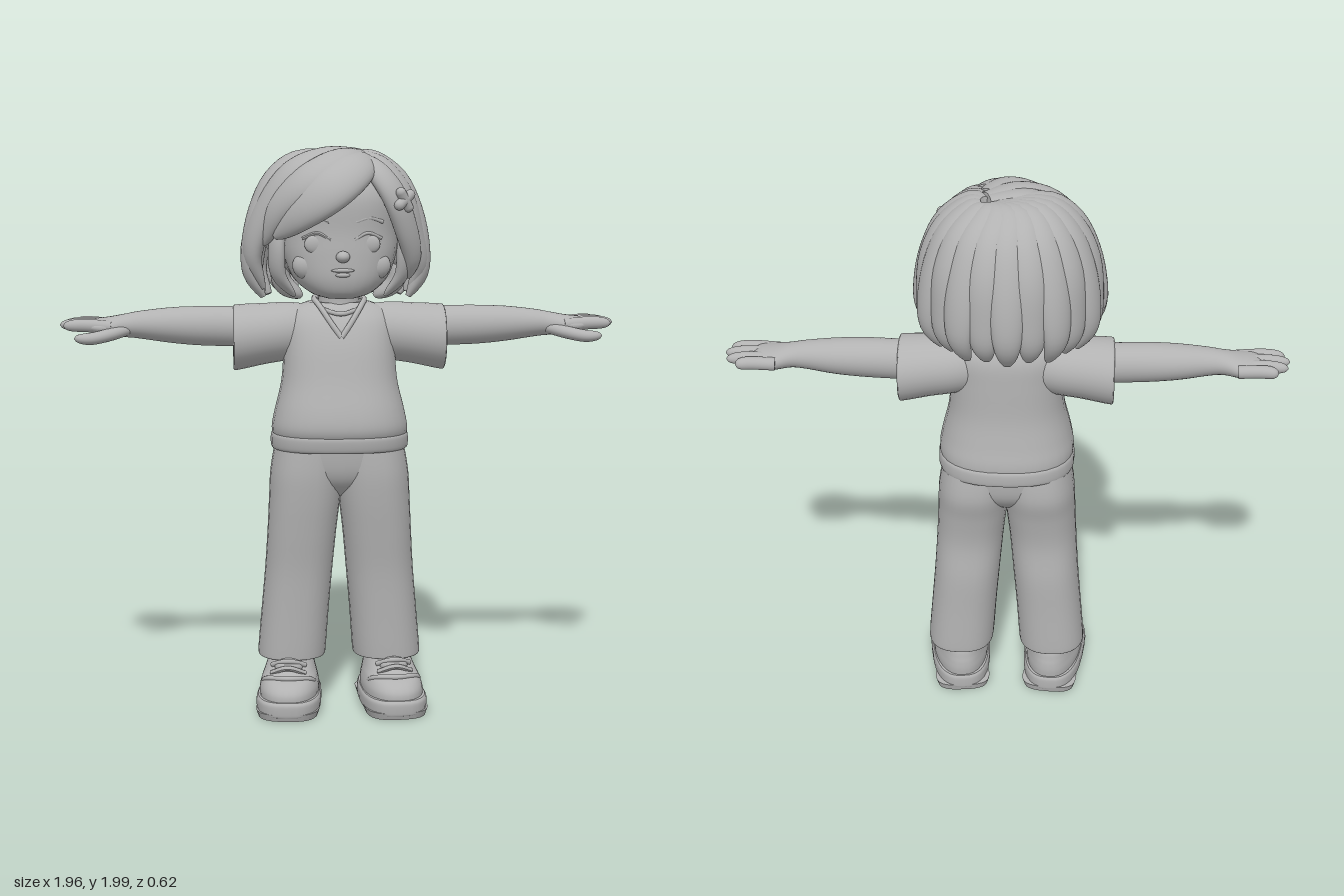
import * as THREE from 'three';

const clay = new THREE.MeshStandardMaterial({ color: 0xb2b2b2, side: THREE.DoubleSide });
clay.name = 'clay grey';
const V = (x, y, z) => new THREE.Vector3(x, y, z);
const SEG = 32;

// Skin a list of closed rings, with flat caps on both ends
function skin(rings) {
  const pos = [], idx = [], n = rings[0].length;
  rings.forEach(r => r.forEach(p => pos.push(p.x, p.y, p.z)));
  for (let i = 0; i < rings.length - 1; i++)
    for (let j = 0; j < n; j++) {
      const a = i * n + j, b = i * n + (j + 1) % n;
      idx.push(a, b, a + n, b, b + n, a + n);
    }
  [rings[0], rings[rings.length - 1]].forEach((r, end) => {
    const base = pos.length / 3, c = V(0, 0, 0);
    r.forEach(p => { pos.push(p.x, p.y, p.z); c.addScaledVector(p, 1 / n); });
    pos.push(c.x, c.y, c.z);
    for (let j = 0; j < n; j++) {
      const a = base + j, b = base + (j + 1) % n;
      idx.push(...(end ? [a, b, base + n] : [b, a, base + n]));
    }
  });
  const g = new THREE.BufferGeometry();
  g.setAttribute('position', new THREE.Float32BufferAttribute(pos, 3));
  g.setIndex(idx);
  g.computeVertexNormals();
  return g;
}

// Smoothly interpolate rows of section numbers
function spline(rows, steps = 5) {
  const out = [], at = i => rows[Math.max(0, Math.min(rows.length - 1, i))];
  for (let i = 0; i < rows.length - 1; i++)
    for (let s = 0; s < steps; s++) {
      const t = s / steps;
      out.push(at(i).map((b, k) => {
        const a = at(i - 1)[k], c = at(i + 1)[k], d = at(i + 2)[k];
        return b + 0.5 * t * (c - a + t * (2 * a - 5 * b + 4 * c - d + t * (3 * (b - c) + d - a)));
      }));
    }
  out.push(rows[rows.length - 1]);
  return out;
}

const pw = (v, n) => Math.sign(v) * Math.abs(v) ** (2 / n);
const ring = f => Array.from({ length: SEG }, (_, j) => {
  const a = j / SEG * Math.PI * 2;
  return f(Math.cos(a), Math.sin(a));
});
// Upright loft, rows: [y, centreX, backZ, frontZ, halfWidth]
const loftY = (rows, n = 2.3) => skin(spline(rows).map(([y, cx, zb, zf, rx]) =>
  ring((c, s) => V(cx + rx * pw(s, n), y, (zb + zf) / 2 + (zf - zb) / 2 * pw(c, n)))));
// Sideways loft, rows: [x, centreY, centreZ, halfHeight, halfDepth]
const loftX = rows => skin(spline(rows).map(([x, cy, cz, ry, rz]) =>
  ring((c, s) => V(x, cy + ry * c, cz + rz * s))));

const lockShape = t => Math.sqrt(Math.sin(Math.PI * (0.08 + 0.9 * t)));
const fingerShape = t => Math.sqrt(Math.max(0.004, 1 - t ** 6));
// Flattened strand along a path, its flat side facing away from the centre
function strand(pts, w, th, centre, shape = lockShape) {
  const curve = new THREE.CatmullRomCurve3(pts.map(p => V(...p))), rings = [];
  for (let i = 0; i <= 24; i++) {
    const t = i / 24, p = curve.getPoint(t), T = curve.getTangent(t);
    const N = p.clone().sub(centre);
    N.addScaledVector(T, -N.dot(T)).normalize();
    const B = N.clone().cross(T), k = shape(t);
    rings.push(ring((c, s) => p.clone().addScaledVector(B, w * k * c).addScaledVector(N, th * k * s)));
  }
  return skin(rings);
}

function mirrored(g) {
  const m = g.clone().scale(-1, 1, 1), ix = m.index.array;
  for (let i = 0; i < ix.length; i += 3) [ix[i], ix[i + 1]] = [ix[i + 1], ix[i]];
  m.computeVertexNormals();
  return m;
}

export function createModel() {
  const model = new THREE.Group();
  const add = (name, g) => {
    const m = new THREE.Mesh(g, clay);
    m.name = name;
    model.add(m);
    return m;
  };
  const pair = (name, g) => { add('left' + name, g); add('right' + name, mirrored(g)); };
  const blob = (x, y, z, a, b, c, rot = 0) =>
    new THREE.SphereGeometry(1, 24, 16).scale(a, b, c).rotateZ(rot).translate(x, y, z);
  const tube = (pts, r) => new THREE.TubeGeometry(
    new THREE.CatmullRomCurve3(pts.map(p => V(...p))), 28, r, 10);

  // Head, neck and face
  add('head', loftY([[1.472, 0, 0.08, 0.19, 0.05], [1.49, 0, 0.02, 0.225, 0.105], [1.54, 0, -0.1, 0.243, 0.165],
    [1.62, 0, -0.17, 0.243, 0.198], [1.7, 0, -0.2, 0.238, 0.203], [1.82, 0, -0.2, 0.235, 0.2],
    [1.9, 0, -0.15, 0.18, 0.15], [1.94, 0, -0.06, 0.08, 0.06]]));
  add('neck', loftY([[1.4, 0, -0.07, 0.1, 0.085], [1.46, 0, -0.055, 0.09, 0.072], [1.55, 0, -0.06, 0.1, 0.075]], 2));
  add('nose', blob(0, 1.618, 0.247, 0.024, 0.02, 0.028));
  add('upperLip', blob(0, 1.572, 0.243, 0.04, 0.007, 0.008));
  add('lowerLip', blob(0, 1.556, 0.242, 0.025, 0.008, 0.009));
  pair('Eye', blob(0.088, 1.66, 0.212, 0.042, 0.034, 0.016));
  pair('Eyelid', tube([[0.04, 1.675, 0.232], [0.085, 1.698, 0.222], [0.135, 1.68, 0.196]], 0.006));
  pair('Eyebrow', tube([[0.045, 1.735, 0.23], [0.09, 1.748, 0.217], [0.14, 1.735, 0.191]], 0.007));
  pair('Cheek', blob(0.11, 1.585, 0.17, 0.06, 0.05, 0.04));
  pair('Ear', blob(0.2, 1.63, 0.05, 0.025, 0.05, 0.035));

  // Hair: inner cap, then locks fanning from the crown around sides and back
  const mid = V(0, 1.68, 0);
  add('hairCap', blob(-0.01, 1.73, -0.04, 0.265, 0.235, 0.235));
  const locks = 13;
  for (let i = 0; i < locks; i++) {
    const a = THREE.MathUtils.lerp(-0.12, Math.PI + 0.12, i / (locks - 1));
    const dx = Math.cos(a), dz = -Math.sin(a), wob = i % 2 ? 0.012 : 0;
    const at = (r, y) => [-0.012 + dx * r * 1.05, y, dz * r + 0.01];
    add('hairLock' + i, strand([[0.05 + dx * 0.03, 1.958, -0.03 + dz * 0.03], at(0.13, 1.945), at(0.205, 1.88),
      at(0.255, 1.77), at(0.283 - wob, 1.64), at(0.285 - wob, 1.55), at(0.245, 1.47 + wob)], 0.062, 0.04, mid));
  }
  // Swept fringe, top strands and face-framing locks
  const front = [
    ['fringe', [[0.08, 1.95, 0.1], [0.04, 1.91, 0.2], [-0.04, 1.845, 0.255], [-0.13, 1.775, 0.24], [-0.23, 1.69, 0.16]], 0.08, 0.045],
    ['fringeTop', [[0.07, 1.96, 0.04], [0, 1.935, 0.16], [-0.11, 1.87, 0.205], [-0.21, 1.78, 0.165], [-0.27, 1.66, 0.11]], 0.075, 0.045],
    ['crownLockFront', [[0.07, 1.965, 0.0], [-0.05, 1.952, 0.09], [-0.16, 1.9, 0.12], [-0.25, 1.78, 0.1], [-0.305, 1.62, 0.07], [-0.27, 1.5, 0.05]], 0.07, 0.042],
    ['crownLockSide', [[0.06, 1.965, -0.02], [-0.08, 1.95, 0.03], [-0.19, 1.89, 0.05], [-0.27, 1.77, 0.04], [-0.315, 1.6, 0.03], [-0.28, 1.49, 0.02]], 0.07, 0.04],
    ['leftFringe', [[0.085, 1.95, 0.07], [0.12, 1.91, 0.16], [0.175, 1.83, 0.19], [0.22, 1.72, 0.165], [0.25, 1.61, 0.12], [0.24, 1.54, 0.09]], 0.055, 0.036],
    ['leftCrownLock', [[0.08, 1.96, 0.02], [0.14, 1.925, 0.08], [0.21, 1.83, 0.1], [0.255, 1.7, 0.08], [0.285, 1.58, 0.05], [0.25, 1.49, 0.03]], 0.068, 0.038],
  ];
  front.forEach(([name, pts, w, th]) => add(name, strand(pts, w, th, mid)));
  pair('FaceLock', strand([[0.21, 1.74, 0.12], [0.222, 1.64, 0.12], [0.215, 1.55, 0.1], [0.16, 1.475, 0.07]], 0.04, 0.025, mid));
  pair('NapeLock', strand([[0.2, 1.62, -0.02], [0.2, 1.52, -0.03], [0.13, 1.465, -0.04]], 0.07, 0.035, mid));

  // Hair clip: crossed rounded bars
  [0.6, -0.95].forEach((r, i) => add('hairClip' + i,
    new THREE.CapsuleGeometry(0.018, 0.06, 6, 12).rotateZ(r).rotateY(0.65).translate(0.212, 1.81, 0.222)));

  // Sweater with a turned-under hem
  add('sweater', loftY([[0.99, 0, -0.14, 0.225, 0.225], [0.985, 0, -0.155, 0.24, 0.237], [1.02, 0, -0.155, 0.253, 0.24],
    [1.08, 0, -0.142, 0.245, 0.228], [1.18, 0, -0.125, 0.215, 0.205], [1.3, 0, -0.12, 0.183, 0.197],
    [1.38, 0, -0.115, 0.148, 0.195], [1.425, 0, -0.1, 0.112, 0.17], [1.45, 0, -0.08, 0.085, 0.11]], 2.4));
  add('sweaterHem', loftY([[0.96, 0, -0.13, 0.205, 0.21], [0.938, 0, -0.15, 0.225, 0.232], [0.945, 0, -0.162, 0.24, 0.243],
    [0.985, 0, -0.162, 0.247, 0.243], [1.0, 0, -0.15, 0.235, 0.232]], 2.4));
  add('neckline', tube([[0, 1.335, 0.166], [0.035, 1.385, 0.145], [0.072, 1.44, 0.1], [0.088, 1.462, 0.02], [0.06, 1.464, -0.055],
    [0, 1.462, -0.08], [-0.06, 1.464, -0.055], [-0.088, 1.462, 0.02], [-0.072, 1.44, 0.1], [-0.035, 1.385, 0.145], [0, 1.335, 0.166]], 0.01));
  add('undershirtCollar', tube([[-0.065, 1.43, 0.105], [0, 1.415, 0.135], [0.065, 1.43, 0.105]], 0.008));

  // Open sleeves and arms
  pair('Sleeve', loftX([[0.1, 1.35, 0.005, 0.09, 0.09], [0.18, 1.345, 0.005, 0.103, 0.11], [0.26, 1.337, 0.007, 0.108, 0.117],
    [0.355, 1.325, 0.008, 0.116, 0.124], [0.372, 1.323, 0.008, 0.113, 0.121], [0.37, 1.323, 0.008, 0.1, 0.106],
    [0.33, 1.328, 0.008, 0.094, 0.1], [0.24, 1.34, 0.006, 0.07, 0.075]]));
  pair('Arm', loftX([[0.22, 1.355, 0, 0.07, 0.07], [0.38, 1.362, -0.003, 0.071, 0.068], [0.5, 1.365, 0, 0.069, 0.07],
    [0.6, 1.368, 0, 0.062, 0.066], [0.7, 1.37, 0.003, 0.049, 0.055], [0.75, 1.368, 0.003, 0.042, 0.054],
    [0.81, 1.362, 0, 0.037, 0.075], [0.86, 1.365, 0, 0.028, 0.076], [0.885, 1.367, 0, 0.015, 0.06]]));
  const below = V(0.8, -20, 0);
  [[-0.064, -0.083, 0.935], [-0.027, -0.043, 0.972], [0.014, 0.004, 0.982], [0.053, 0.048, 0.967]].forEach(([z0, z1, tip], i) =>
    pair('Finger' + i, strand([[0.8, 1.365, z0], [0.89, 1.372, (z0 + z1) / 2], [tip, 1.371, z1]], 0.0225, 0.023, below, fingerShape)));
  pair('Thumb', strand([[0.75, 1.355, 0.03], [0.81, 1.34, 0.075], [0.87, 1.33, 0.1], [0.925, 1.332, 0.107]], 0.026, 0.022, below, fingerShape));

  // Trousers with open cuffs
  pair('TrouserLeg', loftY([[0.26, 0.17, -0.09, 0.11, 0.09], [0.19, 0.17, -0.11, 0.13, 0.105], [0.18, 0.171, -0.122, 0.146, 0.118],
    [0.2, 0.17, -0.126, 0.15, 0.122], [0.35, 0.158, -0.122, 0.156, 0.121], [0.5, 0.145, -0.12, 0.165, 0.121],
    [0.64, 0.134, -0.108, 0.183, 0.123], [0.76, 0.124, -0.122, 0.198, 0.127], [0.86, 0.118, -0.142, 0.205, 0.127],
    [0.97, 0.11, -0.13, 0.2, 0.115]], 2.4));
  add('trouserSeat', loftY([[0.765, 0, -0.02, 0.1, 0.08], [0.81, 0, -0.085, 0.165, 0.15], [0.87, 0, -0.125, 0.195, 0.22],
    [0.97, 0, -0.135, 0.205, 0.228]], 2.5));

  // Shoes: built straight, then toes widened, turned out and set beside the centre line
  const shoe = (name, g) => {
    const p = g.attributes.position;
    for (let i = 0; i < p.count; i++) p.setX(i, p.getX(i) * (0.94 + 0.4 * p.getZ(i)));
    g.rotateY(0.1).translate(0.172, 0, 0).computeVertexNormals();
    pair(name, g);
  };
  shoe('Sole', loftY([[0.014, 0, -0.125, 0.3, 0.11], [0.02, 0, -0.13, 0.306, 0.115], [0.055, 0, -0.13, 0.308, 0.116],
    [0.068, 0, -0.124, 0.3, 0.11]], 2.7));
  shoe('HeelTread', loftY([[0, 0, -0.122, -0.005, 0.103], [0.025, 0, -0.128, 0.005, 0.112]], 3));
  shoe('ToeTread', loftY([[0, 0, 0.03, 0.295, 0.104], [0.025, 0, 0.015, 0.304, 0.112]], 2.8));
  shoe('ShoeUpper', loftY([[0.055, 0, -0.118, 0.295, 0.107], [0.09, 0, -0.12, 0.292, 0.107], [0.118, 0, -0.117, 0.265, 0.1],
    [0.138, 0, -0.112, 0.215, 0.093], [0.165, 0, -0.105, 0.165, 0.084], [0.19, 0, -0.09, 0.14, 0.072]], 2.3));
  shoe('ToeSeam', tube([[-0.096, 0.09, 0.12], [-0.075, 0.126, 0.19], [0, 0.136, 0.23], [0.075, 0.126, 0.19], [0.096, 0.09, 0.12]], 0.009));
  shoe('Tongue', blob(0, 0.16, 0.155, 0.05, 0.03, 0.035));
  [0, 1].forEach(i => shoe('Lace' + i, tube([[-0.06, 0.142 + i * 0.022, 0.175 - i * 0.03],
    [0, 0.165 + i * 0.02, 0.198 - i * 0.02], [0.06, 0.142 + i * 0.022, 0.175 - i * 0.03]], 0.009)));
  return model;
}
